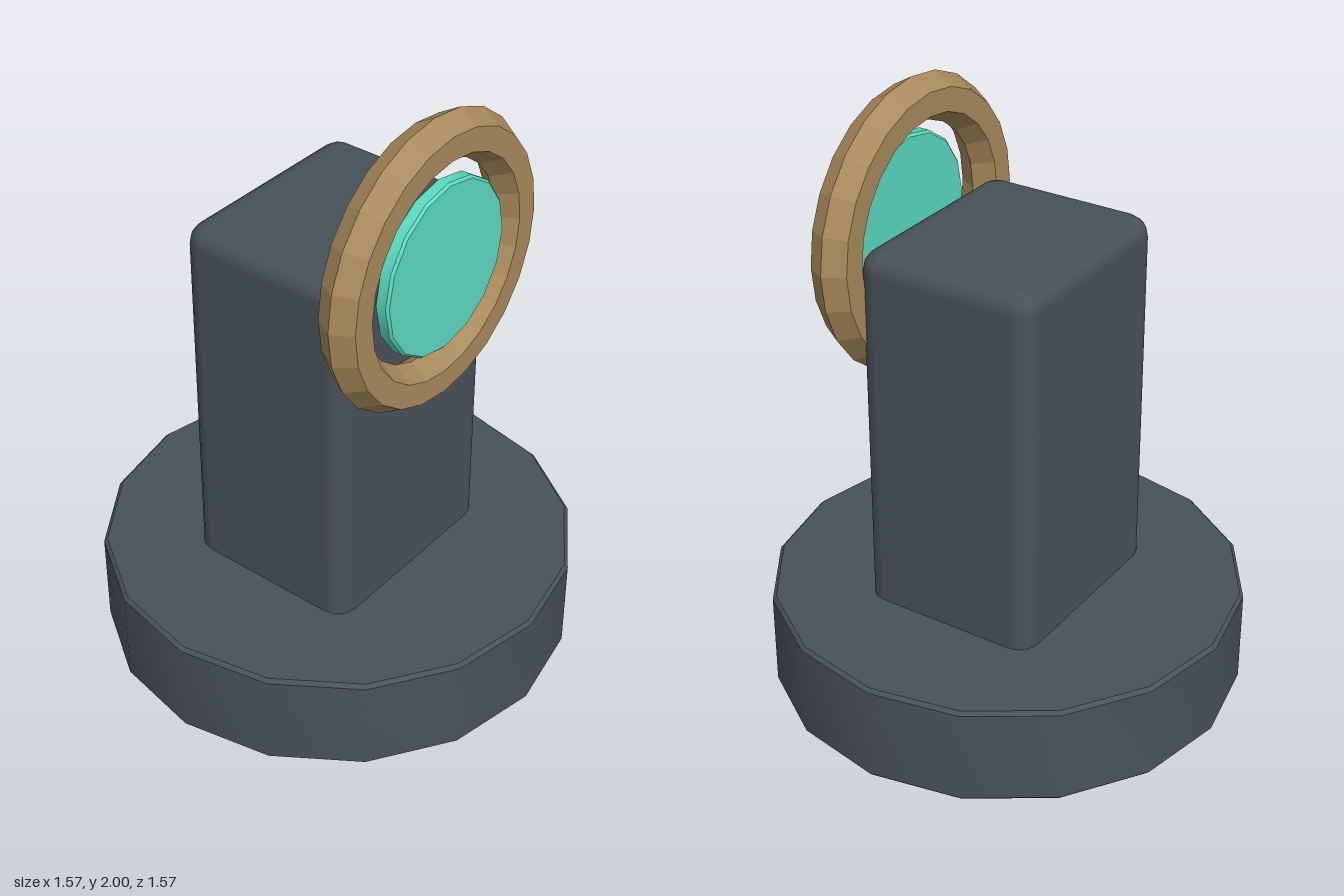
import * as THREE from 'three';
import { toCreasedNormals } from 'three/addons/utils/BufferGeometryUtils.js';
import { RoundedBoxGeometry } from 'three/addons/geometries/RoundedBoxGeometry.js';

const slate = new THREE.MeshStandardMaterial({ color: 0x495259 });
const bronze = new THREE.MeshStandardMaterial({ color: 0xa88a5c, flatShading: true });
const teal = new THREE.MeshStandardMaterial({ color: 0x5cdac0 });

// Sixteen-sided disc standing on y = 0, with a small bevel on both rims
function bevelledDisc(radius, height, bevel) {
  const profile = [
    [0, 0], [radius - bevel, 0], [radius, bevel],
    [radius, height - bevel], [radius - bevel, height], [0, height],
  ].map(([x, y]) => new THREE.Vector2(x, y));
  return toCreasedNormals(new THREE.LatheGeometry(profile, 16), Math.PI / 6);
}

export function createModel() {
  const model = new THREE.Group();
  const add = (name, geometry, material, x, y, z) => {
    const mesh = new THREE.Mesh(geometry, material);
    mesh.name = name;
    mesh.position.set(x, y, z);
    model.add(mesh);
    return mesh;
  };

  // Round foot
  add('base', bevelledDisc(0.785, 0.34, 0.012), slate, 0, 0, 0);

  // Upright block, sunk into the foot
  const bottom = 0.2, top = 1.575;
  add('column', new RoundedBoxGeometry(0.74, top - bottom, 0.62, 2, 0.07), slate, 0, (top + bottom) / 2, 0);

  // Six-sided ring framing the lens
  add('ring', new THREE.TorusGeometry(0.4025, 0.0775, 6, 24), bronze, 0, 1.52, 0.348);

  // Lens disc facing forward inside the ring
  const lens = add('lens', bevelledDisc(0.287, 0.05, 0.008), teal, 0, 1.522, 0.36);
  lens.rotation.x = Math.PI / 2;

  return model;
}
